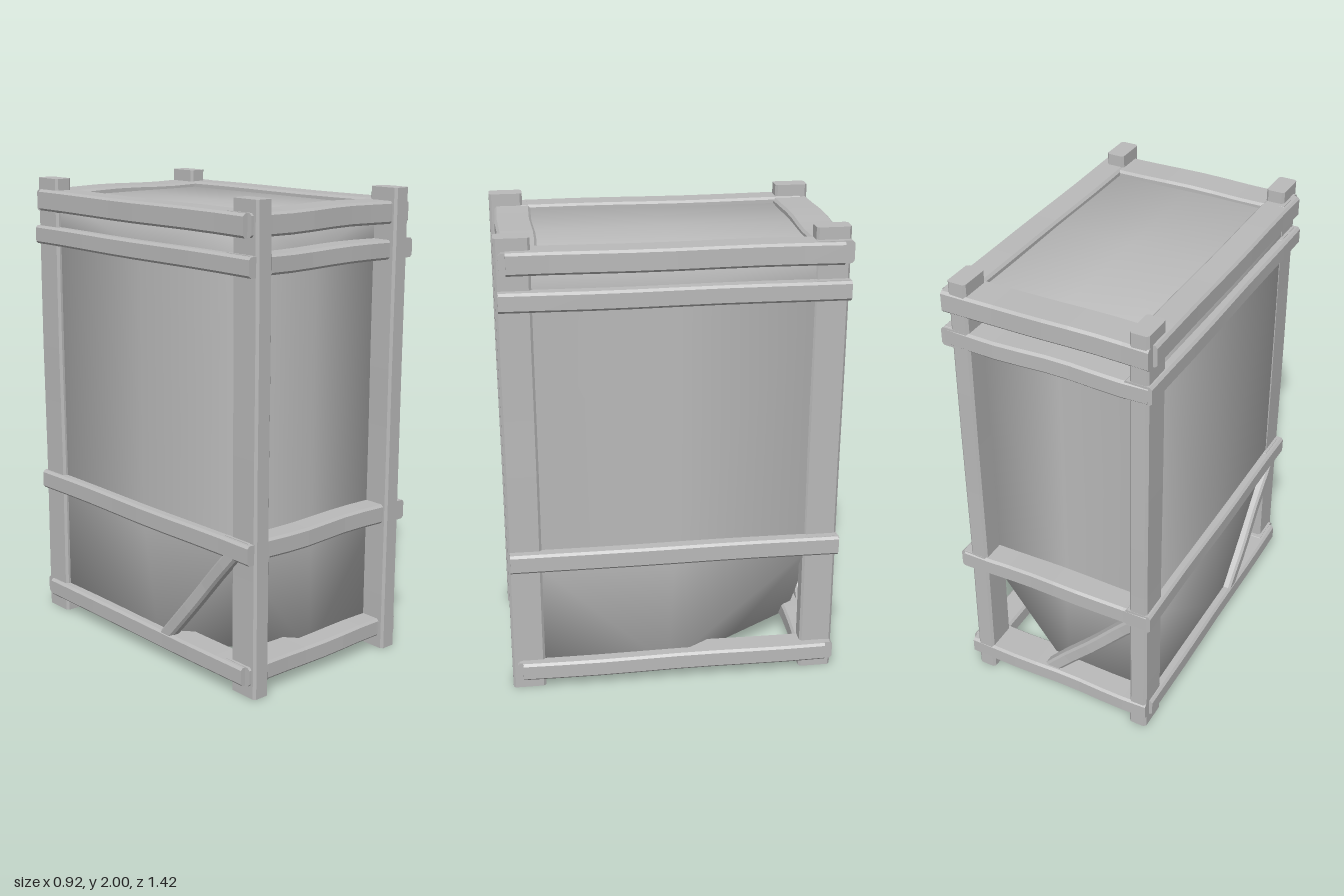
import * as THREE from 'three';

const grey = new THREE.MeshStandardMaterial({ color: 0xbababa });
grey.name = 'weathered grey';
const greyFlat = grey.clone();
greyFlat.flatShading = true;

// Timber with chamfered edges and slightly uneven faces, running along z
function timberGeometry(width, height, length, seed, wobble) {
  const w = width / 2, h = height / 2, c = 0.01;
  const outline = [
    [-w + c, -h], [w - c, -h], [w, -h + c], [w, h - c],
    [w - c, h], [-w + c, h], [-w, h - c], [-w, -h + c],
  ].map(([x, y]) => new THREE.Vector2(x, y));
  const geo = new THREE.ExtrudeGeometry(new THREE.Shape(outline), {
    depth: length, steps: 8, bevelEnabled: false,
  });
  geo.translate(0, 0, -length / 2);
  const p = geo.attributes.position;
  for (let i = 0; i < p.count; i++) {
    const t = p.getZ(i) / length;
    p.setX(i, p.getX(i) + wobble * Math.sin(t * 11 + seed * 2.3));
    p.setY(i, p.getY(i) + wobble * Math.sin(t * 9 + seed * 1.7));
  }
  geo.computeVertexNormals();
  return geo;
}

// Place a timber between two points
let seed = 0;
function timber(name, from, to, width, height, wobble = 0.0015) {
  const a = new THREE.Vector3(...from), b = new THREE.Vector3(...to);
  const mesh = new THREE.Mesh(timberGeometry(width, height, a.distanceTo(b), ++seed, wobble), greyFlat);
  mesh.name = name;
  mesh.position.copy(a).add(b).multiplyScalar(0.5);
  mesh.lookAt(b);
  return mesh;
}

// Smooth-shaded bin whose lower part is cut away at two opposite corners
function createBin() {
  const L = 0.405, R = -0.42, Z = 0.595, low = 0.05, high = 1.925;
  const ring = (midLeft = 0, midRight = 0) => [
    [L, Z], [L, midLeft], [L, -Z], [0, -Z], [R, -Z], [R, midRight], [R, Z], [0, Z],
  ];
  const bottom = ring(0.03, 0.1);
  for (const i of [2, 6]) {
    bottom[i] = [0, 1].map((k) => (bottom[i - 1][k] + bottom[i + 1][k]) / 2);
  }
  const levels = [[low, bottom], [0.59, ring()], [0.64, ring()], [1.75, ring()], [high, ring()]];
  const pos = [], index = [];
  for (const [y, pts] of levels) for (const [x, z] of pts) pos.push(x, y, z);
  const base = pos.length / 3;
  pos.push(0, low, 0, 0, high, 0);

  for (let l = 0; l < levels.length - 1; l++) {
    for (let i = 0; i < 8; i++) {
      const j = (i + 1) % 8;
      const a = l * 8 + i, b = l * 8 + j, c = a + 8, d = b + 8;
      // the diagonal always starts at the upper corner
      if (i % 2 === 0) index.push(a, b, c, b, d, c);
      else index.push(a, b, d, a, d, c);
    }
  }
  const top = (levels.length - 1) * 8;
  for (let i = 0; i < 8; i++) {
    const j = (i + 1) % 8;
    index.push(base, j, i, base + 1, top + i, top + j);
  }
  const geo = new THREE.BufferGeometry();
  geo.setAttribute('position', new THREE.Float32BufferAttribute(pos, 3));
  geo.setIndex(index);
  geo.computeVertexNormals();
  const mesh = new THREE.Mesh(geo, grey);
  mesh.name = 'bin';
  return mesh;
}

export function createModel() {
  const model = new THREE.Group();
  model.name = 'framedBin';
  seed = 0;
  model.add(createBin());

  // Corner posts
  for (const [name, x, z] of [
    ['frontLeftPost', 0.377, 0.638], ['frontRightPost', -0.383, 0.638],
    ['backLeftPost', 0.372, -0.628], ['backRightPost', -0.4, -0.628],
  ]) {
    const post = new THREE.Mesh(timberGeometry(0.08, 0.142, 2, ++seed, 0.001), greyFlat);
    post.name = name;
    post.rotation.x = -Math.PI / 2;
    post.position.set(x, 1, z);
    model.add(post);
  }

  // Four levels of rails: name, centre height, thickness, half length of side rails
  const levels = [
    ['bottom', 0.092, 0.08, 0.665], ['lower', 0.616, 0.084, 0.7],
    ['upper', 1.75, 0.08, 0.7], ['top', 1.903, 0.092, 0.665],
  ];
  for (const [level, y, thick, half] of levels) {
    for (const [side, s] of [['Left', 1], ['Right', -1]]) {
      model.add(timber(level + side + 'Rail', [s * 0.398, y, -half], [s * 0.398, y, half], 0.118, thick));
    }
    model.add(timber(level + 'FrontRail', [-0.435, y, 0.612], [0.435, y, 0.612], 0.154, thick, 0.003));
    model.add(timber(level + 'BackRail', [-0.44, y, -0.624], [0.44, y, -0.624], 0.158, thick, 0.003));
  }

  // Diagonal braces on the back and on the right side
  model.add(timber('backBrace', [0.06, 0.1, -0.655], [-0.37, 0.56, -0.655], 0.06, 0.06));
  model.add(timber('rightBrace', [-0.43, 0.1, 0.16], [-0.43, 0.6, 0.6], 0.05, 0.06));

  return model;
}
